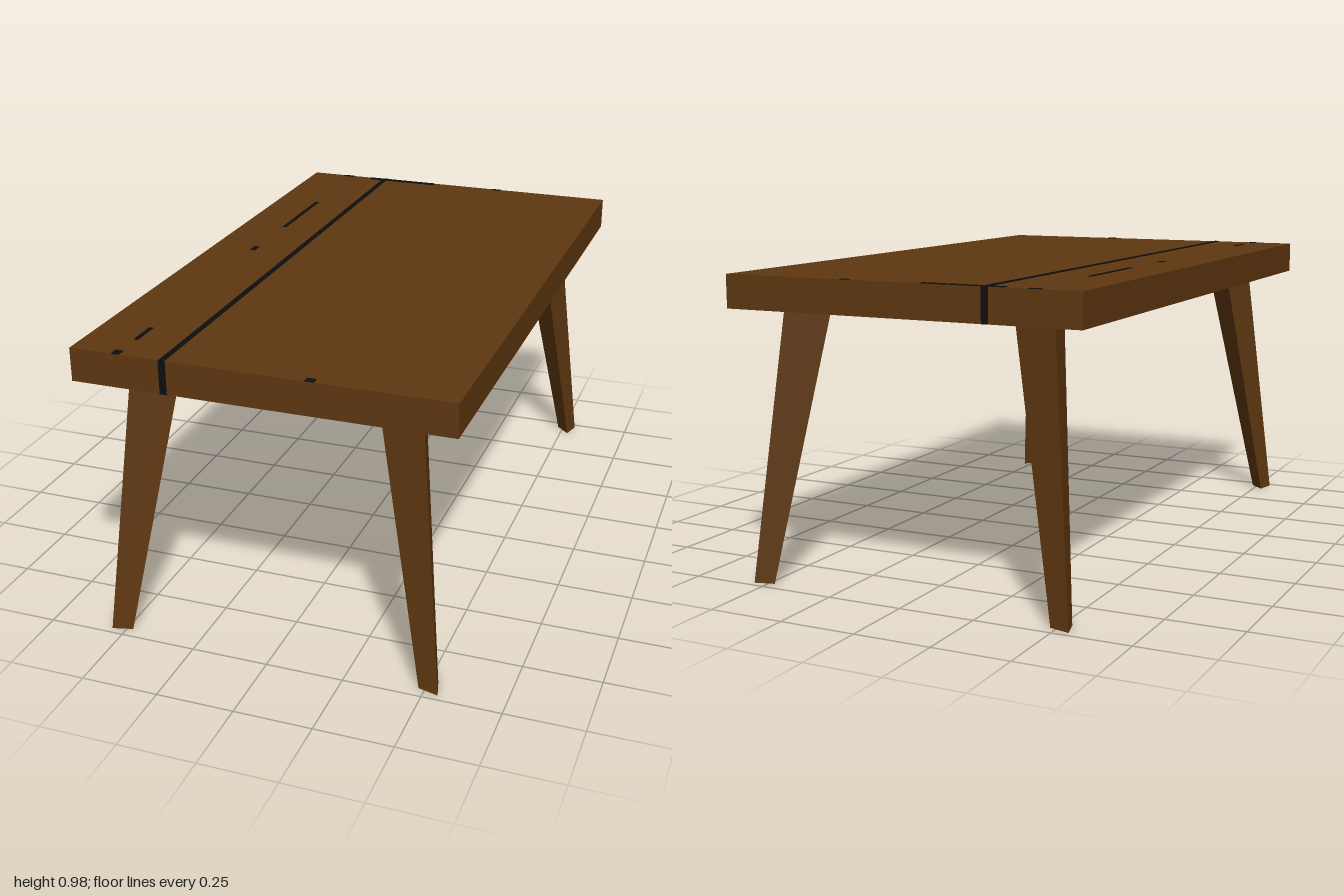
import * as THREE from 'three';

export function createModel() {
  const table = new THREE.Group();
  table.name = 'table';

  const wood = new THREE.MeshStandardMaterial({ color: 0x5e3710, side: THREE.DoubleSide });
  wood.name = 'dark wood';
  const black = new THREE.MeshStandardMaterial({ color: 0x0e0e0e });
  black.name = 'black';

  const add = (name, geometry, material, x = 0, y = 0, z = 0) => {
    const mesh = new THREE.Mesh(geometry, material);
    mesh.name = name;
    mesh.position.set(x, y, z);
    table.add(mesh);
    return mesh;
  };

  // Tabletop: a thin shell, open underneath
  const W = 1.19, L = 2, TOP = 0.977, RIM = 0.871;
  const shell = new THREE.BoxGeometry(W, TOP - RIM, L);
  const corners = Array.from(shell.index.array);
  corners.splice(18, 6); // leave out the bottom face
  shell.setIndex(corners);
  shell.clearGroups();
  add('tabletop', shell, wood, 0, (TOP + RIM) / 2, 0);

  // Legs: three-sided, tapered and splayed, one edge pointing to the corner
  const H = 0.925;
  const foot = { x: 0.518, z: 0.951 }, head = { x: 0.392, z: 0.82 };
  const makeLeg = (sx, sz) => {
    const g = new THREE.CylinderGeometry(0.091, 0.039, H, 3).toNonIndexed();
    g.rotateY(Math.atan2(sx, sz));
    g.translate(0, H / 2, 0);
    const p = g.attributes.position;
    for (let i = 0; i < p.count; i++) {
      const t = p.getY(i) / H;
      p.setX(i, p.getX(i) + sx * THREE.MathUtils.lerp(foot.x, head.x, t));
      p.setZ(i, p.getZ(i) + sz * THREE.MathUtils.lerp(foot.z, head.z, t));
    }
    g.computeVertexNormals();
    return g;
  };
  for (const [sz, end] of [[1, 'front'], [-1, 'back']]) {
    for (const [sx, side] of [[1, 'Left'], [-1, 'Right']]) {
      add(`${end}${side}Leg`, makeLeg(sx, sz), wood);
    }
  }

  // Plank seam: along the top and down both ends
  const seamX = -0.295;
  add('topSeam', new THREE.BoxGeometry(0.018, 0.004, L), black, seamX, TOP, 0);
  for (const s of [1, -1]) {
    add('endSeam', new THREE.BoxGeometry(0.022, TOP - RIM, 0.004), black, seamX, (TOP + RIM) / 2, s * L / 2);
  }

  // Small dark wear marks on the top: x, z, width, length
  const marks = [
    [-0.22, -0.988, 0.27, 0.022], [-0.44, -0.44, 0.014, 0.33],
    [-0.44, 0.83, 0.014, 0.1], [-0.445, -0.015, 0.018, 0.04],
    [-0.445, 0.985, 0.025, 0.03], [0.16, 0.988, 0.03, 0.024],
    [0.17, -0.993, 0.03, 0.014], [-0.45, -0.993, 0.04, 0.014],
  ];
  for (const [x, z, w, l] of marks) {
    add('wearMark', new THREE.BoxGeometry(w, 0.003, l), black, x, TOP, z);
  }

  return table;
}
